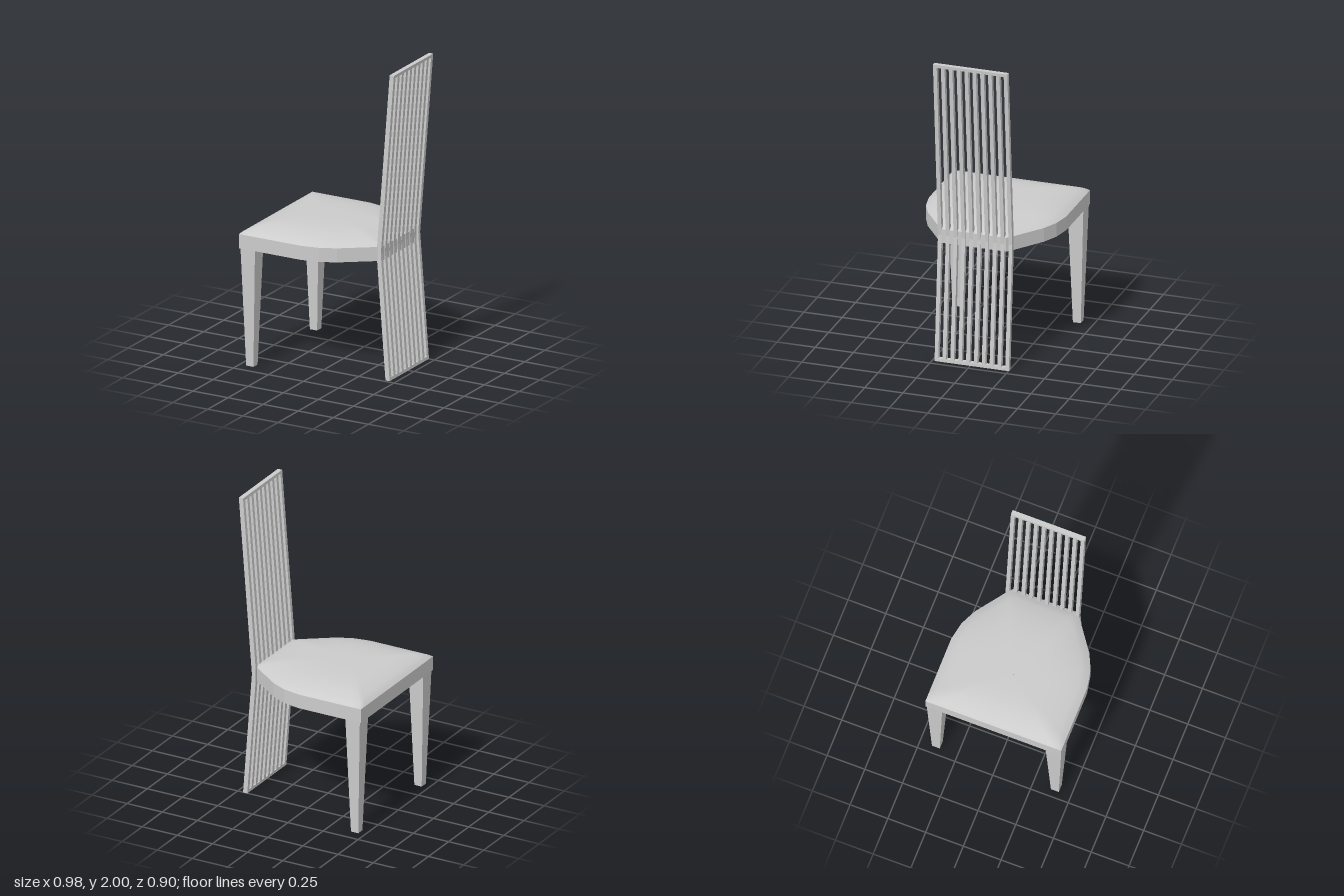
import * as THREE from 'three';

const grey = (options = {}) => new THREE.MeshStandardMaterial({ color: 0xcccccc, ...options });

function addMesh(parent, name, geometry, material) {
  const mesh = new THREE.Mesh(geometry, material);
  mesh.name = name;
  parent.add(mesh);
  return mesh;
}

// Seat plan as [x, z]: straight front, sides curving in towards the backrest
function seatOutline() {
  const half = [[-0.49, 0.45], [-0.05, 0.45], [0.07, 0.427], [0.17, 0.38], [0.37, 0.235], [0.395, 0.21]];
  const corners = [...half, ...half.map(([x, z]) => [x, -z]).reverse()];
  const points = [];
  corners.forEach(([x, z], i) => {
    const [nx, nz] = corners[(i + 1) % corners.length];
    const steps = Math.max(1, Math.round(Math.hypot(nx - x, nz - z) / 0.06));
    for (let k = 0; k < steps; k++) {
      points.push([x + (nx - x) * k / steps, z + (nz - z) * k / steps]);
    }
  });
  return points;
}

// Skin through copies of the outline, each given as [scale, y]
function loft(outline, rings, centreX) {
  const positions = [], index = [], n = outline.length;
  for (const [scale, y] of rings) {
    for (const [x, z] of outline) positions.push(centreX + (x - centreX) * scale, y, z * scale);
  }
  for (let j = 0; j < rings.length - 1; j++) {
    for (let i = 0; i < n; i++) {
      const a = j * n + i, b = j * n + (i + 1) % n;
      index.push(a, b, b + n, a, b + n, a + n);
    }
  }
  const geometry = new THREE.BufferGeometry();
  geometry.setAttribute('position', new THREE.Float32BufferAttribute(positions, 3));
  geometry.setIndex(index);
  geometry.computeVertexNormals();
  return geometry;
}

// Side profile in x, y extruded along z and centred on the given z
function profileBar(points, width, z) {
  const shape = new THREE.Shape(points.map(([x, y]) => new THREE.Vector2(x, y)));
  const geometry = new THREE.ExtrudeGeometry(shape, { depth: width, bevelEnabled: false });
  return geometry.translate(0, 0, z - width / 2);
}

export function createModel() {
  const chair = new THREE.Group();
  chair.name = 'chair';

  // Seat: a shell open underneath, with a domed cushion
  const seat = new THREE.Group();
  seat.name = 'seat';
  chair.add(seat);
  const outline = seatOutline();
  addMesh(seat, 'seatRim', loft(outline, [[1, 0.77], [1, 0.862]], -0.15),
    grey({ side: THREE.DoubleSide, flatShading: true }));
  const dome = [[1, 0.862], [0.94, 0.88], [0.88, 0.891], [0.75, 0.908], [0.6, 0.918],
    [0.45, 0.924], [0.25, 0.926], [0.001, 0.926]];
  addMesh(seat, 'cushion', loft(outline, dome, -0.15), grey({ side: THREE.DoubleSide }));

  // Tapered square front legs
  const legGeometry = new THREE.CylinderGeometry(0.103 / Math.SQRT2, 0.052 / Math.SQRT2, 0.77, 4)
    .rotateY(Math.PI / 4);
  for (const side of [1, -1]) {
    const leg = addMesh(chair, side > 0 ? 'leftLeg' : 'rightLeg', legGeometry, grey({ flatShading: true }));
    leg.position.set(-0.429, 0.385, side * 0.394);
  }

  // Tall backrest: bent slats running from floor to top
  const back = new THREE.Group();
  back.name = 'backrest';
  chair.add(back);
  const slatCount = 10, slatWidth = 0.024, centreZ = -0.01, pitch = 0.0514;
  const slat = [[0.43, 0], [0.46, 0], [0.397, 0.82], [0.49, 2], [0.46, 2], [0.37, 0.86], [0.37, 0.78]];
  for (let i = 0; i < slatCount; i++) {
    const z = centreZ + (i - (slatCount - 1) / 2) * pitch;
    addMesh(back, 'slat', profileBar(slat, slatWidth, z), grey({ flatShading: true }));
  }

  // Rails closing the slats at both ends
  const railWidth = (slatCount - 1) * pitch + slatWidth;
  const topRail = [[0.4584, 1.98], [0.4884, 1.98], [0.49, 2], [0.46, 2]];
  const bottomRail = [[0.43, 0], [0.46, 0], [0.4585, 0.02], [0.4285, 0.02]];
  addMesh(back, 'topRail', profileBar(topRail, railWidth, centreZ), grey({ flatShading: true }));
  addMesh(back, 'bottomRail', profileBar(bottomRail, railWidth, centreZ), grey({ flatShading: true }));

  return chair;
}
